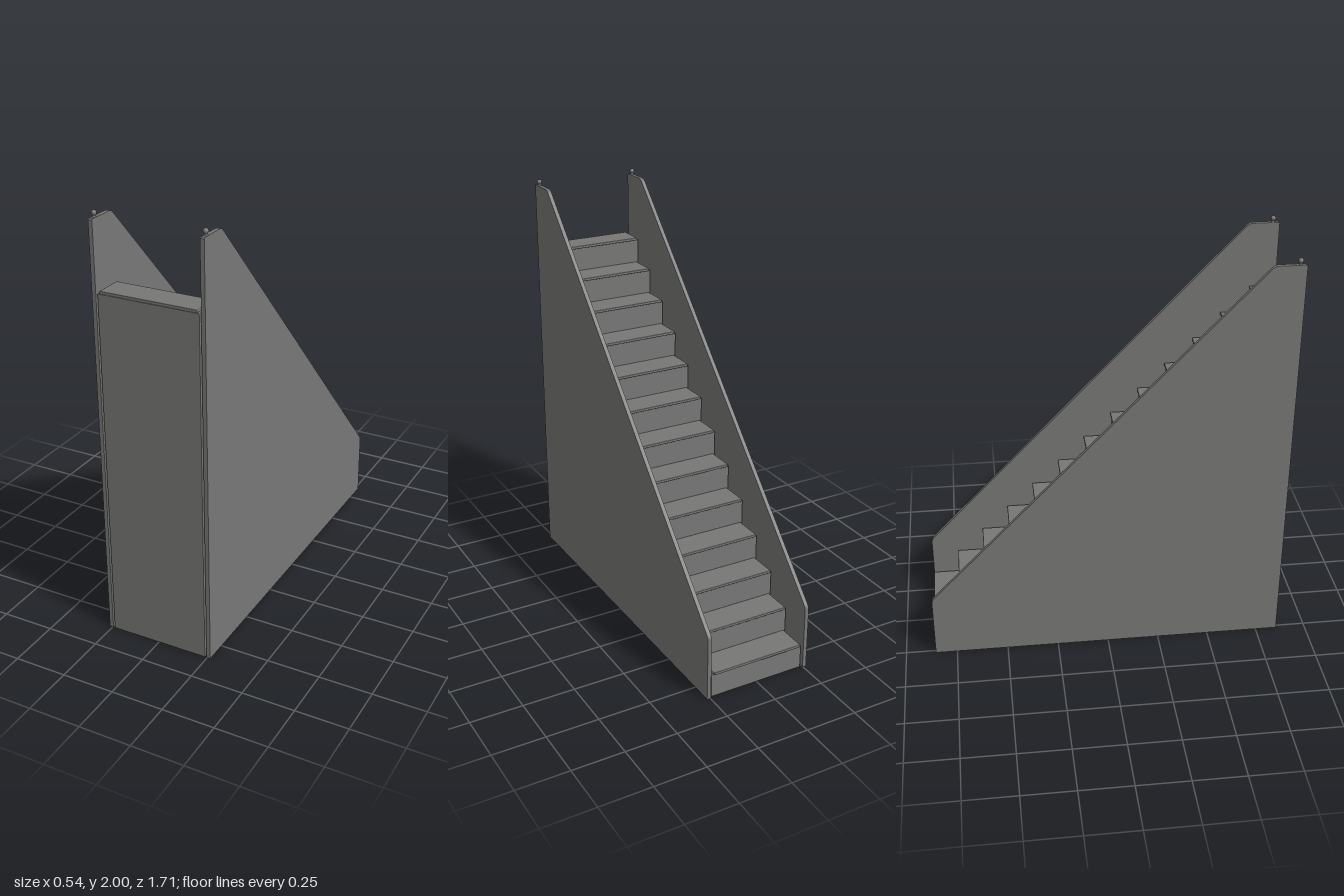
import * as THREE from 'three';
import { RoundedBoxGeometry } from 'three/addons/geometries/RoundedBoxGeometry.js';

const STEPS = 13, BACK = -0.855, FRONT = 0.855;
const RUN = (FRONT - BACK) / STEPS, RISE = 1.667 / STEPS;
const TREAD = 0.014, NOSING = 0.01;

// Extrudes a [z, y] profile along x, centred on x = 0
function extrudeAcross(shape, width) {
  const geo = new THREE.ExtrudeGeometry(shape, { depth: width, bevelEnabled: false, curveSegments: 4 });
  return geo.translate(0, 0, -width / 2).rotateY(Math.PI / 2);
}

export function createModel() {
  const group = new THREE.Group();
  const grey = new THREE.MeshStandardMaterial({ color: 0x777876 });
  grey.name = 'stoneGrey';
  const add = (name, geo, x = 0, y = 0, z = 0) => {
    const mesh = new THREE.Mesh(geo, grey);
    mesh.name = name;
    mesh.position.set(x, y, z);
    group.add(mesh);
  };

  // Solid stair core with a stepped top (shape x is -z)
  const core = new THREE.Shape();
  core.moveTo(-FRONT, 0);
  core.lineTo(-BACK - NOSING, 0);
  for (let i = 0; i < STEPS; i++) {
    const y = (i + 1) * RISE - TREAD;
    const z = BACK + i * RUN + NOSING;
    core.lineTo(-z, y);
    core.lineTo(i < STEPS - 1 ? -(z + RUN) : -FRONT, y);
  }
  core.closePath();
  add('stairCore', extrudeAcross(core, 0.476));

  // Treads projecting slightly over each riser
  for (let i = 0; i < STEPS; i++) {
    const depth = RUN + (i < STEPS - 1 ? NOSING : 0);
    add('tread' + (i + 1), new RoundedBoxGeometry(0.458, TREAD, depth, 1, 0.003),
      0, (i + 1) * RISE - TREAD / 2, BACK + i * RUN + depth / 2);
  }

  // Side walls with softened upper corners
  const wall = new THREE.Shape();
  wall.moveTo(-FRONT, 0);
  wall.lineTo(-BACK, 0);
  wall.lineTo(-BACK, 0.305);
  wall.quadraticCurveTo(-BACK, 0.318, 0.843, 0.331);
  wall.lineTo(-0.702, 1.957);
  wall.quadraticCurveTo(-0.714, 1.97, -0.73, 1.97);
  wall.lineTo(-FRONT + 0.005, 1.97);
  wall.lineTo(-FRONT, 1.965);
  wall.closePath();
  const wallGeo = extrudeAcross(wall, 0.019);

  // Small ball finials on short necks
  const ballGeo = new THREE.SphereGeometry(0.012, 16, 12);
  const neckGeo = new THREE.CylinderGeometry(0.006, 0.009, 0.014, 12);
  for (const [side, s] of [['left', 1], ['right', -1]]) {
    add(side + 'Wall', wallGeo, s * 0.256);
    add(side + 'FinialNeck', neckGeo, s * 0.256, 1.974, 0.825);
    add(side + 'FinialBall', ballGeo, s * 0.256, 1.988, 0.825);
  }
  return group;
}
